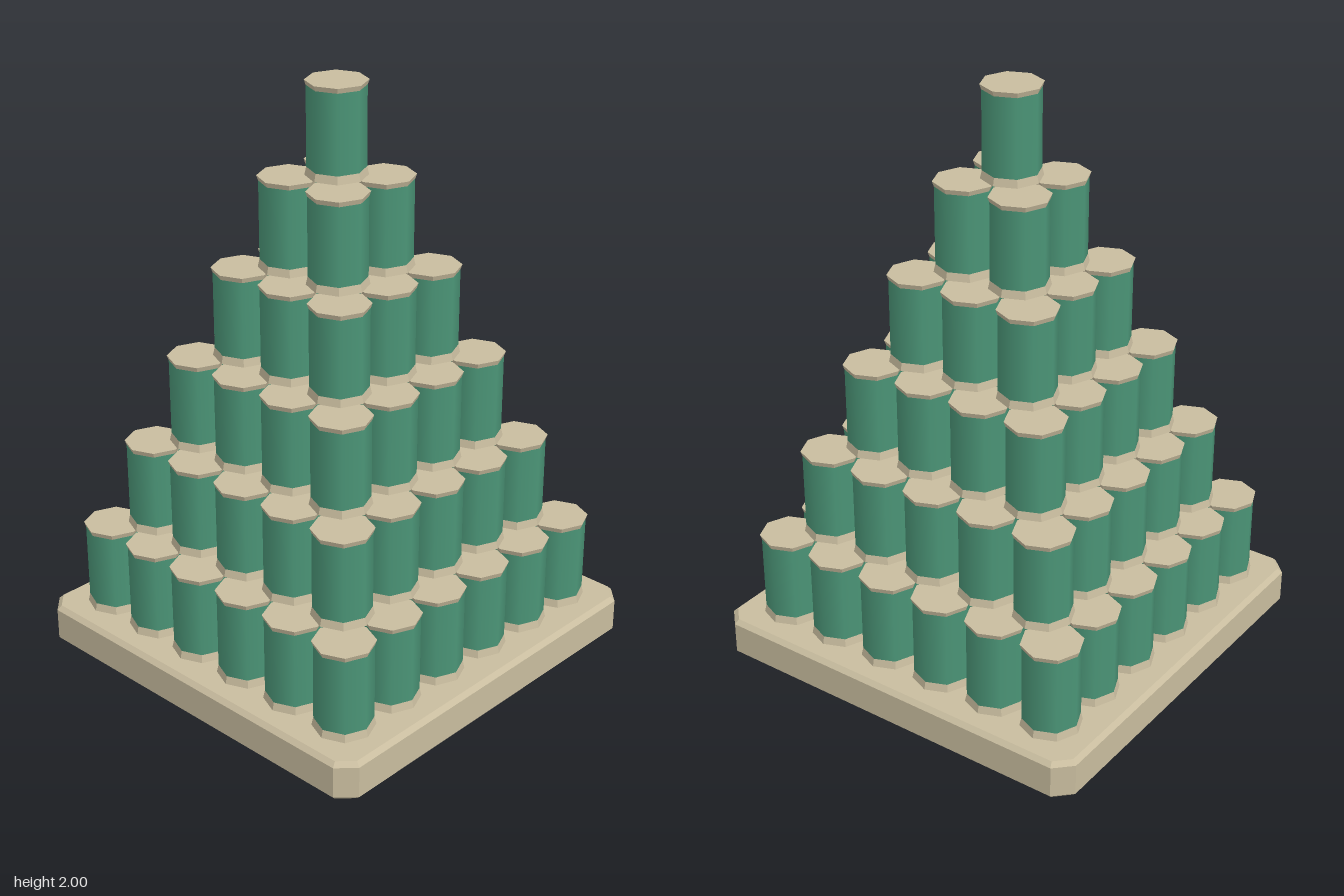
import * as THREE from 'three';
import { toCreasedNormals } from 'three/addons/utils/BufferGeometryUtils.js';

const SIDES = 8, LEVELS = 6;
const PITCH = 0.2143, CAN_HEIGHT = 0.31, BASE_HEIGHT = 0.14;
const BODY_RADIUS = 0.096, RIM_RADIUS = 0.102;
const FOOT_HEIGHT = 0.027, LID_HEIGHT = 0.017;

// Square slab with cut corners and a small bevel all round
function baseGeometry() {
  const h = 0.696, c = 0.648, bevel = 0.015;
  const outline = [[c, -h], [h, -c], [h, c], [c, h], [-c, h], [-h, c], [-h, -c], [-c, -h]];
  const shape = new THREE.Shape(outline.map(([x, y]) => new THREE.Vector2(x, y)));
  const geo = new THREE.ExtrudeGeometry(shape, {
    depth: BASE_HEIGHT - 2 * bevel, bevelEnabled: true,
    bevelSize: bevel, bevelThickness: bevel, bevelSegments: 1,
  });
  geo.rotateX(-Math.PI / 2);
  geo.translate(0, bevel, 0);
  return geo;
}

// Tapered octagonal rim with sharp facets
function rimGeometry(top, bottom, height, y) {
  const geo = new THREE.CylinderGeometry(top, bottom, height, SIDES);
  geo.translate(0, y + height / 2, 0);
  return toCreasedNormals(geo, 0.3);
}

export function createModel() {
  const beige = new THREE.MeshStandardMaterial({ color: 0xc9bd9f });
  beige.name = 'beige';
  const green = new THREE.MeshStandardMaterial({ color: 0x4b9577 });
  green.name = 'green';

  const model = new THREE.Group();
  model.name = 'canPyramid';

  const add = (parent, name, geometry, material) => {
    const mesh = new THREE.Mesh(geometry, material);
    mesh.name = name;
    parent.add(mesh);
  };

  add(model, 'base', baseGeometry(), beige);

  // Shared parts of one can
  const bodyHeight = CAN_HEIGHT - FOOT_HEIGHT - LID_HEIGHT;
  const body = new THREE.CylinderGeometry(BODY_RADIUS, BODY_RADIUS, bodyHeight, SIDES, 1, true);
  body.translate(0, FOOT_HEIGHT + bodyHeight / 2, 0);
  const foot = rimGeometry(BODY_RADIUS, RIM_RADIUS, FOOT_HEIGHT, 0);
  const lid = rimGeometry(RIM_RADIUS, BODY_RADIUS, LID_HEIGHT, CAN_HEIGHT - LID_HEIGHT);

  // Square layers of cans, each one can narrower than the layer below
  for (let level = 0; level < LEVELS; level++) {
    const count = LEVELS - level;
    const layer = new THREE.Group();
    layer.name = `layer${level + 1}`;
    layer.position.y = BASE_HEIGHT + level * CAN_HEIGHT;
    model.add(layer);
    for (let i = 0; i < count; i++) {
      for (let j = 0; j < count; j++) {
        const can = new THREE.Group();
        can.name = 'can';
        can.position.set((i - (count - 1) / 2) * PITCH, 0, (j - (count - 1) / 2) * PITCH);
        add(can, 'canBody', body, green);
        add(can, 'canFoot', foot, beige);
        add(can, 'canLid', lid, beige);
        layer.add(can);
      }
    }
  }
  return model;
}
